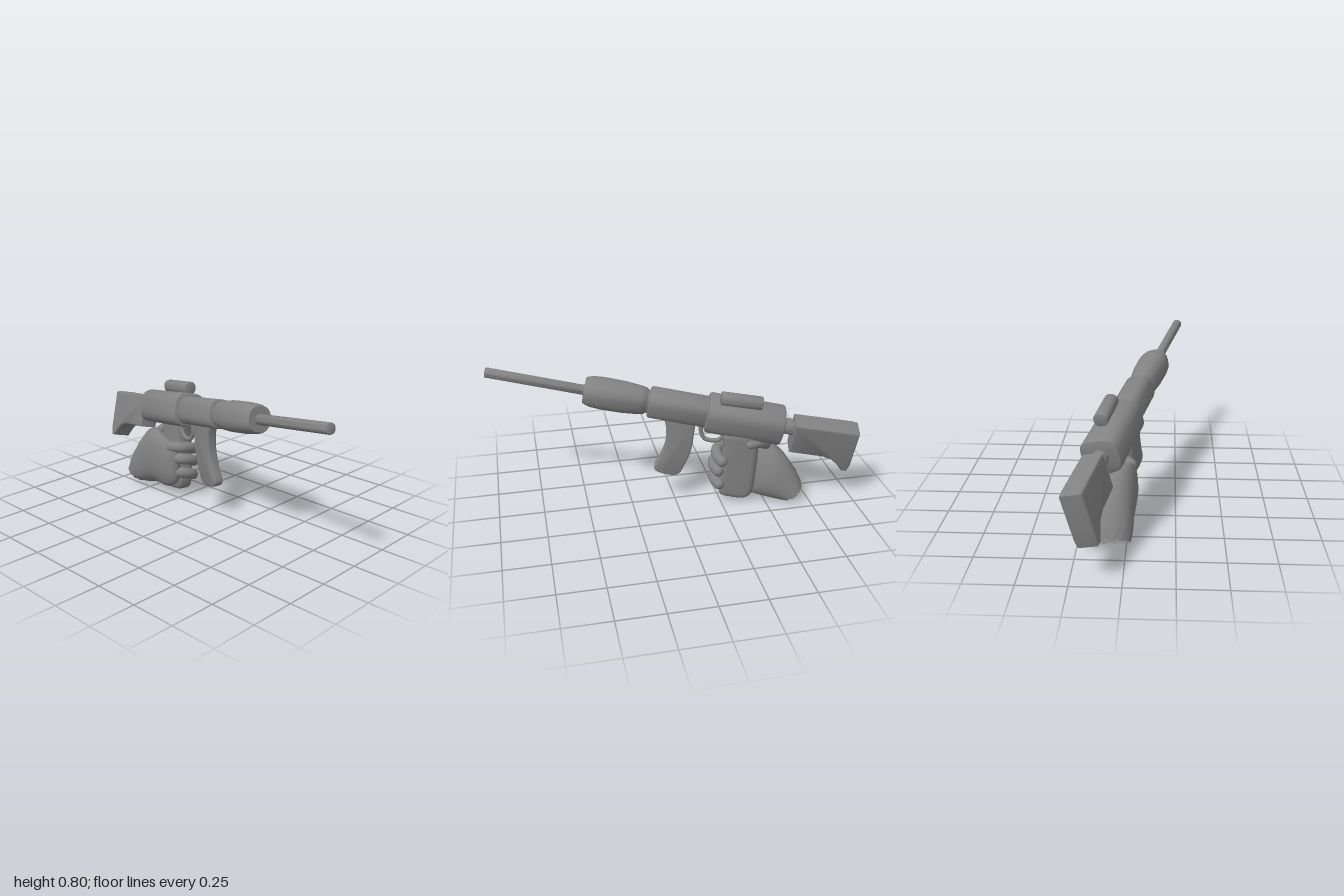
import * as THREE from 'three';
import { toCreasedNormals } from 'three/addons/utils/BufferGeometryUtils.js';

const YAW = -0.235, PITCH = -0.183, ROLL = -0.25, STRETCH = 1.026;
const V = (x, y, z) => new THREE.Vector3(x, y, z);
const material = new THREE.MeshStandardMaterial({ color: 0x828282 });
const openMaterial = new THREE.MeshStandardMaterial({ color: 0x828282, side: THREE.DoubleSide });

function add(parent, name, geometry, mat = material) {
  const mesh = new THREE.Mesh(geometry, mat);
  mesh.name = name;
  parent.add(mesh);
  return mesh;
}

// Superellipse ring spanned by two half axes; n = 2 is round, larger is boxier.
function ring(center, e1, e2, n, count = 40) {
  return Array.from({ length: count }, (_, i) => {
    const t = (i / count) * Math.PI * 2, c = Math.cos(t), s = Math.sin(t);
    return center.clone()
      .addScaledVector(e1, Math.sign(c) * Math.abs(c) ** (2 / n))
      .addScaledVector(e2, Math.sign(s) * Math.abs(s) ** (2 / n));
  });
}

// Skin joining successive rings, with a flat end cap and an optional start cap.
function skin(rings, capStart = true) {
  const pos = [], count = rings[0].length;
  const tri = (...pts) => pts.forEach(p => pos.push(p.x, p.y, p.z));
  const middle = r => r.reduce((sum, p) => sum.add(p), V(0, 0, 0)).divideScalar(count);
  const first = rings[0], last = rings[rings.length - 1];
  const m0 = middle(first), m1 = middle(last);
  for (let i = 0; i < count; i++) {
    const j = (i + 1) % count;
    for (let k = 0; k < rings.length - 1; k++) {
      const a = rings[k], b = rings[k + 1];
      tri(a[i], a[j], b[j]);
      tri(a[i], b[j], b[i]);
    }
    if (capStart) tri(m0, first[j], first[i]);
    tri(m1, last[i], last[j]);
  }
  const g = new THREE.BufferGeometry();
  g.setAttribute('position', new THREE.Float32BufferAttribute(pos, 3));
  return toCreasedNormals(g, 0.75);
}

// Body along the gun axis from [position, half width, half height] sections.
const body = (sections, n) =>
  skin(sections.map(([s, a, b]) => ring(V(0, 0, s), V(a, 0, 0), V(0, b, 0), n)));

// Block with softened ends.
const block = (s0, s1, a, b, n, r = 0.012) => body([
  [s0, a - r, b - r], [s0 + r * 0.3, a - r * 0.3, b - r * 0.3], [s0 + r, a, b],
  [s1 - r, a, b], [s1 - r * 0.3, a - r * 0.3, b - r * 0.3], [s1, a - r, b - r]], n);

// Side profile of [z, y] points, extruded across the gun with rounded edges.
function plate(points, thickness, bevel, curved) {
  let pts = points.map(([z, y]) => new THREE.Vector2(z * STRETCH, y));
  if (curved) {
    pts = new THREE.CatmullRomCurve3(pts.map(p => V(p.x, p.y, 0)), true, 'centripetal')
      .getPoints(56).slice(0, -1).map(p => new THREE.Vector2(p.x, p.y));
  }
  const depth = thickness - 2 * bevel;
  const g = new THREE.ExtrudeGeometry(new THREE.Shape(pts), {
    depth, bevelEnabled: true, bevelSize: bevel, bevelThickness: bevel,
    bevelOffset: -bevel, bevelSegments: 4,
  });
  g.translate(0, 0, -depth / 2);
  g.rotateY(-Math.PI / 2);
  return toCreasedNormals(g, 0.7);
}

// Round-ended tube through points.
function finger(parent, name, points, radius) {
  const group = new THREE.Group();
  group.name = name;
  const curve = new THREE.CatmullRomCurve3(points);
  add(group, name + 'Length', new THREE.TubeGeometry(curve, 20, radius, 16));
  for (const end of [points[0], points[points.length - 1]]) {
    add(group, name + 'End', new THREE.SphereGeometry(radius, 16, 12)).position.copy(end);
  }
  parent.add(group);
}

function frame(parent, name, y, pitch, roll) {
  const group = new THREE.Group();
  group.name = name;
  group.rotation.set(pitch, YAW, roll, 'YXZ');
  group.position.set(-0.012, y, 0);
  parent.add(group);
  return group;
}

export function createModel() {
  const model = new THREE.Group();
  model.name = 'handHoldingRifle';

  // Barrel, handguard and receiver along the tilted axis
  const axis = frame(model, 'rifleBody', 0.588, PITCH, ROLL);
  add(axis, 'barrel', block(0.48, 1.043, 0.028, 0.028, 2, 0.003));
  add(axis, 'handguard', body([
    [0.15, 0.055, 0.06], [0.16, 0.064, 0.07], [0.19, 0.071, 0.077], [0.28, 0.081, 0.083],
    [0.4, 0.087, 0.082], [0.46, 0.083, 0.077], [0.49, 0.073, 0.07], [0.5, 0.067, 0.065]], 2.5));
  add(axis, 'handguardNeck', block(0.11, 0.18, 0.058, 0.062, 2.4, 0.004));
  add(axis, 'frontReceiver', block(-0.22, 0.143, 0.077, 0.08, 3, 0.014));
  add(axis, 'rearReceiver', block(-0.61, -0.18, 0.104, 0.098, 3, 0.016));
  add(axis, 'stockConnector', block(-0.72, -0.58, 0.046, 0.044, 2, 0.006));

  // Sight tube on the receiver
  const front = V(0.094, 0.661, -0.235), rear = V(0.136, 0.626, -0.458);
  const sight = add(model, 'sight', block(0, front.distanceTo(rear), 0.038, 0.036, 2.3, 0.006));
  sight.position.copy(rear);
  sight.lookAt(front);

  // Shoulder stock, leaning with the receiver
  const stockFrame = frame(model, 'stockFrame', 0.44, 0, ROLL);
  add(stockFrame, 'stock', plate([
    [-0.625, 0.34], [-0.645, 0.535], [-0.965, 0.485], [-0.995, 0.475], [-0.97, 0.24],
    [-0.955, 0.197], [-0.925, 0.202], [-0.89, 0.255], [-0.86, 0.285], [-0.81, 0.308],
  ].map(([z, y]) => [z, y - 0.45]), 0.115, 0.012, false));

  // Magazine, grip and trigger guard hang straight down
  const lower = frame(model, 'lowerParts', 0, 0, 0);
  add(lower, 'magazine', plate([
    [0.05, 0.55], [0.044, 0.46], [0.05, 0.37], [0.08, 0.28], [0.112, 0.215], [0.1, 0.19],
    [0.01, 0.165], [-0.025, 0.175], [-0.06, 0.24], [-0.09, 0.32], [-0.105, 0.42], [-0.105, 0.53],
  ], 0.058, 0.012, true)).position.x = 0.006;
  const grip = add(lower, 'grip', plate([
    [-0.265, 0.45], [-0.265, 0.38], [-0.255, 0.25], [-0.243, 0.1], [-0.26, 0.05], [-0.31, 0.035],
    [-0.39, 0.028], [-0.43, 0.06], [-0.447, 0.18], [-0.455, 0.33], [-0.445, 0.44],
  ], 0.106, 0.034, true));
  grip.position.x = 0.006;
  grip.rotation.z = -0.05;
  const guard = [[-0.145, 0.5], [-0.145, 0.43], [-0.165, 0.39], [-0.205, 0.378], [-0.245, 0.385], [-0.27, 0.42]]
    .map(([z, y]) => V(0, y, z * STRETCH));
  add(lower, 'triggerGuard', new THREE.TubeGeometry(new THREE.CatmullRomCurve3(guard), 32, 0.012, 12));

  // Palm from the open wrist to the knuckles: top [z, y], bottom [z, y], centre x, half width
  const hand = new THREE.Group();
  hand.name = 'hand';
  model.add(hand);
  const palm = [
    [-0.718, 0.1, -0.585, 0.008, 0.096, 0.12],
    [-0.69, 0.17, -0.53, 0.015, 0.086, 0.12],
    [-0.62, 0.275, -0.47, 0.03, 0.077, 0.115],
    [-0.54, 0.36, -0.42, 0.04, 0.06, 0.106],
    [-0.46, 0.385, -0.375, 0.045, 0.024, 0.072],
    [-0.36, 0.36, -0.32, 0.06, 0.0, 0.05],
    [-0.285, 0.335, -0.265, 0.09, -0.003, 0.042],
    [-0.255, 0.3, -0.245, 0.12, -0.003, 0.028],
    [-0.245, 0.25, -0.24, 0.17, -0.003, 0.01],
  ].map(([za, ya, zb, yb, x, w]) => ring(
    V(x, (ya + yb) / 2, (za + zb) / 2), V(w, 0, 0), V(0, (ya - yb) / 2, (za - zb) / 2), 2.2));
  // Ragged edge at the wrist
  palm[0].forEach((p, i) => p.add(V(0, -0.6, -0.8).multiplyScalar(0.007 * Math.sin(i * 2.3))));
  add(hand, 'palm', skin(palm, false), openMaterial);

  // Three fingers wrapped round the grip, and the thumb behind it
  [['middleFinger', 0.298, 0.016, -0.006], ['ringFinger', 0.23, 0, 0.01], ['littleFinger', 0.143, -0.003, 0.004]]
    .forEach(([name, y, dx, dz]) => finger(hand, name, [
      V(-0.01, y + 0.02, -0.29), V(0.02, y + 0.02, -0.235 + dz),
      V(0.07 + dx, y + 0.006, -0.22 + dz), V(0.108 + dx, y - 0.013, -0.236 + dz)], 0.031));
  finger(hand, 'thumb', [V(0.08, 0.33, -0.52), V(0.12, 0.372, -0.475), V(0.147, 0.39, -0.43), V(0.152, 0.39, -0.395)], 0.027);

  return model;
}
